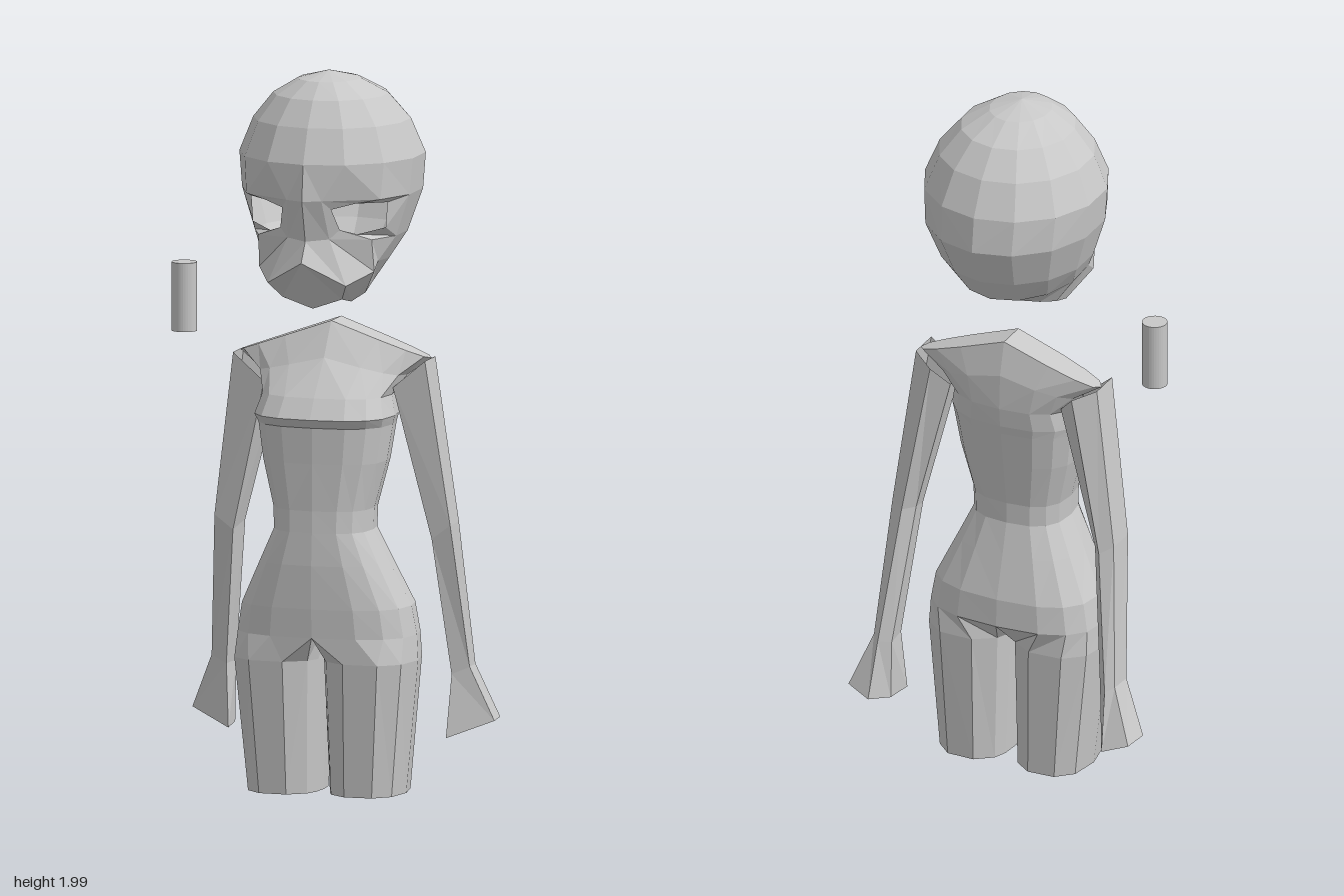
import * as THREE from 'three';

const CENTRE_X = 0.015; // mirror plane of the figure
const grey = new THREE.MeshStandardMaterial({ color: 0xc8c8c8, flatShading: true, side: THREE.DoubleSide });
grey.name = 'grey clay';

const lerp = THREE.MathUtils.lerp;
const spow = (v, p) => Math.sign(v) * Math.pow(Math.abs(v), p);

// Half cross-section running front -> side -> back; y follows z, and drops towards the side
function halfRing(n, { yf, yb = yf, w, zf, zb, drop = 0, p = 1 }) {
  const pts = [];
  for (let k = 0; k <= n; k++) {
    const a = (k / n) * Math.PI;
    const s = k === n ? 0 : spow(Math.sin(a), p);
    const c = spow(Math.cos(a), p);
    const t = (1 - c) / 2;
    pts.push([w * s, lerp(yf, yb, t) - drop * s, lerp(zf, zb, t)]);
  }
  return pts;
}

// Quads between successive rings, listed from top to bottom
function skin(tris, rings, closed = false, skip = () => false) {
  for (let i = 0; i < rings.length - 1; i++) {
    const n = rings[i].length;
    for (let k = 0; k < (closed ? n : n - 1); k++) {
      if (skip(i, k)) continue;
      const a = rings[i][k], b = rings[i][(k + 1) % n];
      const c = rings[i + 1][k], d = rings[i + 1][(k + 1) % n];
      tris.push([a, c, d], [a, d, b]);
    }
  }
}

function fan(tris, centre, ring, down, closed = false) {
  const n = ring.length;
  for (let k = 0; k < (closed ? n : n - 1); k++) {
    const a = ring[k], b = ring[(k + 1) % n];
    tris.push(down ? [centre, b, a] : [centre, a, b]);
  }
}

// Mesh from one-sided triangles, optionally reflected
function toMesh(name, tris, sign) {
  const pos = [];
  for (const t of tris) {
    const order = sign > 0 ? t : [t[0], t[2], t[1]];
    for (const [x, y, z] of order) pos.push(x * sign, y, z);
  }
  const g = new THREE.BufferGeometry();
  g.setAttribute('position', new THREE.Float32BufferAttribute(pos, 3));
  g.computeVertexNormals();
  const m = new THREE.Mesh(g, grey);
  m.name = name;
  return m;
}

function mirrored(name, tris) {
  const g = new THREE.Group();
  g.name = name;
  g.add(toMesh(name + 'Left', tris, 1), toMesh(name + 'Right', tris, -1));
  g.position.x = CENTRE_X;
  return g;
}

function headHalf() {
  const rings = [
    { yf: 1.978, w: 0.085, zf: 0.12, zb: -0.07 },
    { yf: 1.935, w: 0.158, zf: 0.175, zb: -0.155 },
    { yf: 1.865, w: 0.216, zf: 0.222, zb: -0.22 },
    { yf: 1.77, w: 0.255, zf: 0.262, zb: -0.268 },
    { yf: 1.67, w: 0.246, zf: 0.274, zb: -0.28 },
    { yf: 1.555, w: 0.208, zf: 0.243, zb: -0.225 },
    { yf: 1.5, yb: 1.475, w: 0.17, zf: 0.28, zb: -0.165 },
    { yf: 1.36, yb: 1.45, w: 0.12, zf: 0.175, zb: -0.1 },
  ].map(r => halfRing(7, r));
  // nose bridge, muzzle corner and chin corner
  rings[4][1] = [0.05, 1.67, 0.255];
  rings[5][1] = [0.06, 1.56, 0.215];
  rings[6][1] = [0.112, 1.435, 0.23];
  rings[6][2] = [0.165, 1.465, 0.14];
  rings[7][1] = [0.085, 1.39, 0.18];
  const tris = [];
  fan(tris, [0, 2, 0.03], rings[0], false);
  skin(tris, rings, false, (i, k) => i === 4 && (k === 1 || k === 2));
  fan(tris, [0, 1.41, 0.0], rings[7], true);
  // narrow frame around the open eye
  const outer = [rings[4][1], rings[4][2], rings[4][3], rings[5][3], rings[5][2], rings[5][1]];
  const eye = [
    [0.07, 1.645, 0.23], [0.13, 1.66, 0.2], [0.195, 1.655, 0.115],
    [0.19, 1.585, 0.115], [0.125, 1.57, 0.165], [0.085, 1.585, 0.2],
  ];
  skin(tris, [outer, eye], true);
  return tris;
}

const HIP = halfRing(8, { yf: 0.45, w: 0.252, zf: 0.187, zb: -0.13, p: 0.75 });

function torsoHalf() {
  const rings = [
    { yf: 1.303, w: 0.275, zf: 0.01, zb: -0.08, drop: 0.097 },
    { yf: 1.21, w: 0.21, zf: 0.075, zb: -0.105, drop: 0.05 },
    { yf: 1.11, w: 0.18, zf: 0.165, zb: -0.11 },
    { yf: 1.055, w: 0.195, zf: 0.203, zb: -0.105 },
    { yf: 1.03, w: 0.187, zf: 0.182, zb: -0.1 },
    { yf: 0.93, w: 0.172, zf: 0.18, zb: -0.085 },
    { yf: 0.8, w: 0.139, zf: 0.18, zb: -0.065 },
    { yf: 0.74, w: 0.137, zf: 0.184, zb: -0.065 },
    { yf: 0.65, w: 0.18, zf: 0.19, zb: -0.09 },
    { yf: 0.53, w: 0.238, zf: 0.19, zb: -0.125 },
  ].map(r => halfRing(8, { p: 0.75, ...r }));
  const tris = [];
  fan(tris, [0, 1.303, -0.035], rings[0], false);
  skin(tris, [...rings, HIP]);
  return tris;
}

// Thigh: half of the hip ring closed on the inside, ending in an open oval
function legHalf() {
  const inner = [0.75, 0.5, 0.25].map(t => [0, 0.45, lerp(0.187, -0.13, t)]);
  const oval = (y, inX, outX, zf, zb) => {
    const pts = [];
    for (let k = 0; k < 12; k++) {
      const deg = k <= 8 ? -50 + 35 * k : 230 + 20 * (k - 8);
      const a = THREE.MathUtils.degToRad(deg);
      pts.push([
        lerp(inX, outX, (1 + spow(Math.sin(a), 0.8)) / 2), y,
        lerp(zb, zf, (1 + spow(Math.cos(a), 0.8)) / 2),
      ]);
    }
    return pts;
  };
  const tris = [];
  skin(tris, [
    [...HIP, ...inner],
    oval(0.38, 0.002, 0.258, 0.184, -0.11),
    oval(0.01, 0.015, 0.221, 0.16, -0.106),
  ], true);
  return tris;
}

function armHalf() {
  const rings = [
    // shoulder
    [[0.275, 1.206, 0.03], [0.275, 1.206, -0.065], [0.215, 1.18, -0.1], [0.168, 1.13, -0.07], [0.185, 1.13, 0.035]],
    // elbow
    [[0.338, 0.75, 0], [0.336, 0.75, -0.085], [0.3, 0.73, -0.104], [0.272, 0.73, -0.07], [0.285, 0.71, 0]],
    // wrist
    [[0.37, 0.35, -0.075], [0.366, 0.35, -0.14], [0.345, 0.34, -0.16], [0.317, 0.33, -0.13], [0.323, 0.33, -0.06]],
    // flared hand
    [[0.433, 0.2, -0.1], [0.425, 0.2, -0.178], [0.355, 0.178, -0.2], [0.32, 0.16, -0.13], [0.312, 0.155, -0.043]],
  ];
  const tris = [];
  skin(tris, rings, true);
  fan(tris, [0.365, 0.185, -0.125], rings[3], true, true);
  return tris;
}

export function createModel() {
  const model = new THREE.Group();
  model.name = 'figure';
  model.add(
    mirrored('head', headHalf()),
    mirrored('torso', torsoHalf()),
    mirrored('leg', legHalf()),
    mirrored('arm', armHalf()),
  );

  // loose cylinder beside the figure
  const smooth = new THREE.CylinderGeometry(0.035, 0.035, 0.19, 32);
  const post = new THREE.Mesh(smooth, grey);
  post.name = 'looseCylinder';
  post.position.set(-0.418, 1.345, -0.028);
  model.add(post);
  return model;
}
